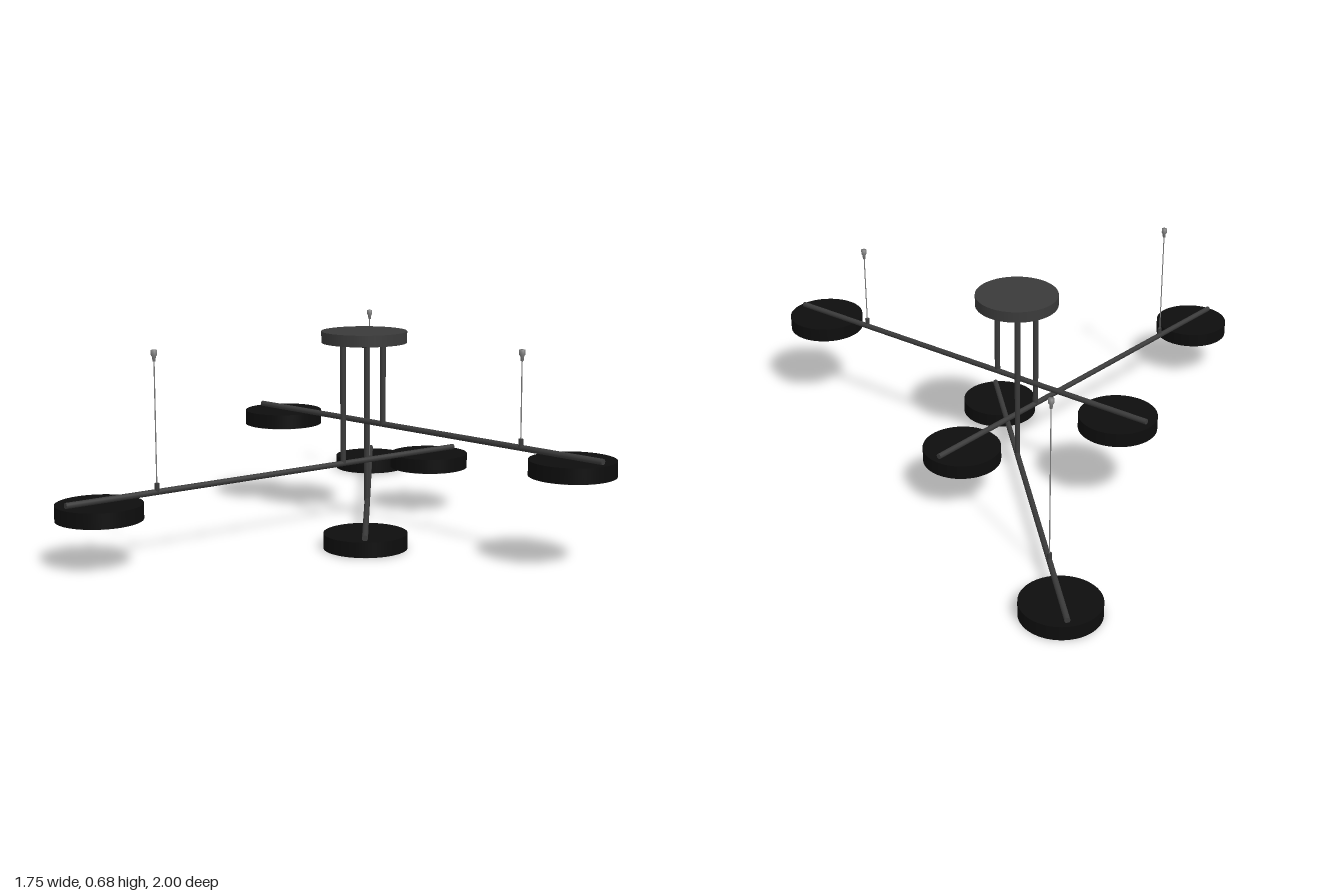
import * as THREE from 'three';

const mat = (name, color) => {
  const m = new THREE.MeshStandardMaterial({ color });
  m.name = name;
  return m;
};

export function createModel() {
  const model = new THREE.Group();
  model.name = 'ceilingLight';

  const metal = mat('charcoal metal', 0x3a3a3a);
  const shade = mat('black shade', 0x0d0d0d);
  const diffuser = mat('pale diffuser', 0xb4b4b4);
  const steel = mat('grey steel', 0x808080);

  const add = (parent, name, geometry, material, x = 0, y = 0, z = 0) => {
    const mesh = new THREE.Mesh(geometry, material);
    mesh.name = name;
    mesh.position.set(x, y, z);
    parent.add(mesh);
    return mesh;
  };

  // upright cylinder between two heights
  const upright = (parent, name, r, y0, y1, x, z, material, sides = 16) =>
    add(parent, name, new THREE.CylinderGeometry(r, r, y1 - y0, sides), material, x, (y0 + y1) / 2, z);

  // ceiling canopy with a small screw underneath
  upright(model, 'canopy', 0.15, 0.642, 0.682, 0, 0.12, metal, 64);
  upright(model, 'canopyScrew', 0.008, 0.622, 0.642, 0, 0.12, shade);

  // ceiling anchor of a wire: narrow collar flaring to a cap
  const anchorProfile = [[0, 0], [0.005, 0], [0.006, 0.014], [0.01, 0.02], [0.01, 0.036], [0, 0.036]]
    .map(([r, y]) => new THREE.Vector2(r, y));

  // each arm: underside of its shades, two shade centres, post and wire positions (x, z)
  const arms = [
    { name: 'lowerArm', y: 0, a: [-0.11, -0.86], b: [0.056, 0.498], post: [0, 0.05], wire: [-0.084, -0.645] },
    { name: 'middleArm', y: 0.154, a: [-0.741, 0.858], b: [0.204, -0.133], post: [-0.07, 0.155], wire: [-0.594, 0.708] },
    { name: 'upperArm', y: 0.297, a: [0.734, 0.668], b: [-0.345, -0.174], post: [0.07, 0.153], wire: [0.566, 0.541] },
  ];

  for (const { name, y, a, b, post, wire } of arms) {
    const arm = new THREE.Group();
    arm.name = name;
    model.add(arm);

    // horizontal rod, running past both shade centres
    const barY = y + 0.062;
    const from = new THREE.Vector3(a[0], barY, a[1]);
    const to = new THREE.Vector3(b[0], barY, b[1]);
    const dir = to.clone().sub(from);
    const mid = from.clone().add(to).multiplyScalar(0.5);
    const rod = add(arm, 'rod', new THREE.CylinderGeometry(0.01, 0.01, dir.length() + 0.236, 16), metal, ...mid);
    rod.quaternion.setFromUnitVectors(new THREE.Vector3(0, 1, 0), dir.normalize());

    // round shades with a glowing face below
    for (const [x, z] of [a, b]) {
      upright(arm, 'shade', 0.14, y + 0.002, y + 0.053, x, z, shade, 64);
      upright(arm, 'diffuser', 0.134, y, y + 0.005, x, z, diffuser, 64);
    }

    // post up to the canopy
    upright(arm, 'post', 0.01, barY, 0.645, ...post, metal);

    // support wire with its clamp and ceiling anchor
    upright(arm, 'wireClamp', 0.008, barY, barY + 0.03, ...wire, metal);
    upright(arm, 'wire', 0.002, barY + 0.03, 0.65, ...wire, steel, 8);
    add(arm, 'wireAnchor', new THREE.LatheGeometry(anchorProfile, 16), steel, wire[0], 0.642, wire[1]);
  }

  return model;
}
